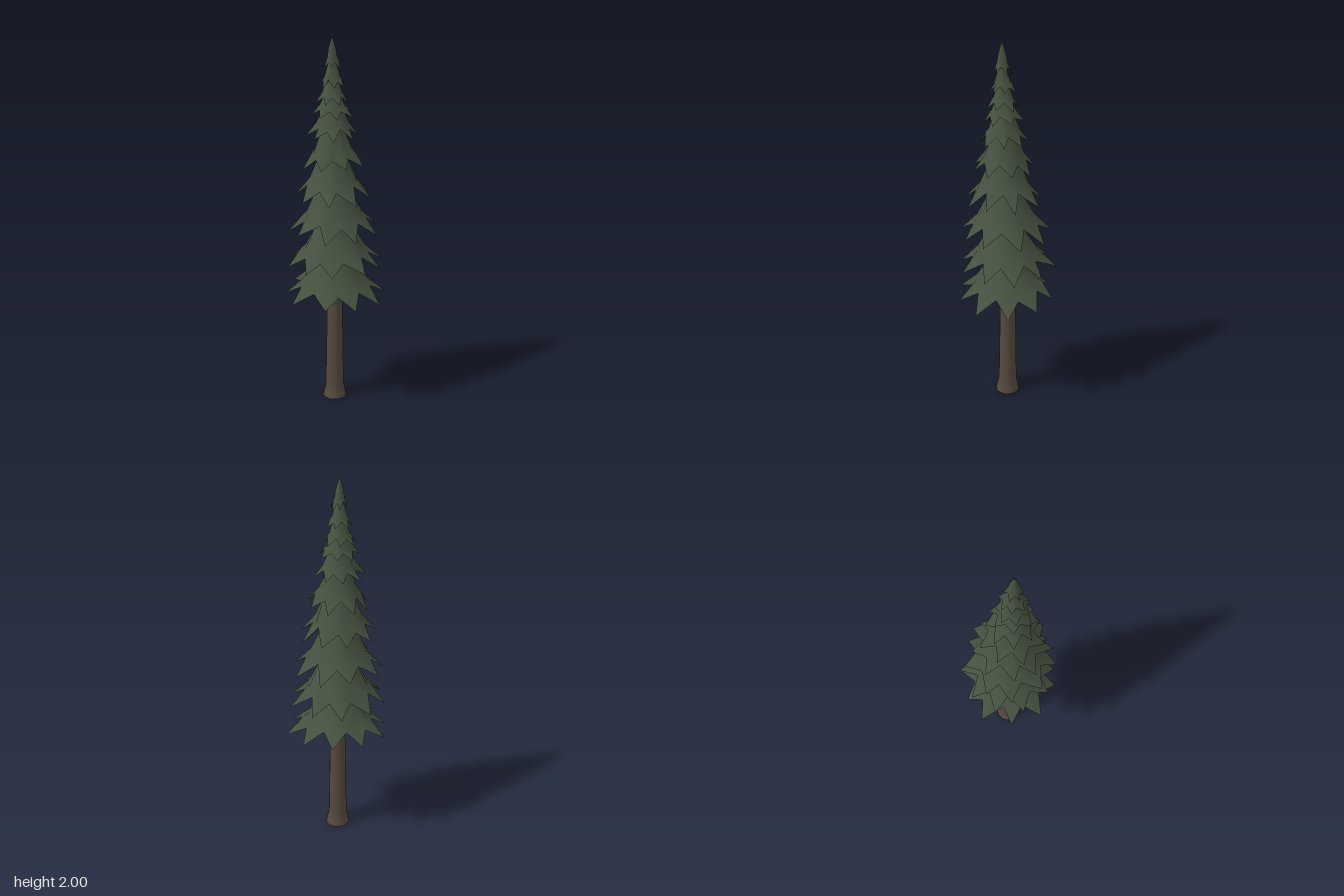
import * as THREE from 'three';

// small seeded generator for natural irregularity
function seeded(seed) {
  return () => {
    seed = (seed * 16807) % 2147483647;
    return seed / 2147483647;
  };
}

// smooth surface through rings of points, listed top to bottom; each ring is closed
function skin(rings) {
  const n = rings[0].length, position = [], index = [];
  for (const ring of rings) for (const p of ring) position.push(...p);
  for (let i = 0; i < rings.length - 1; i++) {
    for (let j = 0; j < n; j++) {
      const k = (j + 1) % n;
      const a = i * n + j, b = i * n + k, c = a + n, d = b + n;
      index.push(a, c, d, a, d, b);
    }
  }
  const geometry = new THREE.BufferGeometry();
  geometry.setAttribute('position', new THREE.Float32BufferAttribute(position, 3));
  geometry.setIndex(index);
  geometry.computeVertexNormals();
  return geometry;
}

export function createModel() {
  const bark = new THREE.MeshStandardMaterial({ color: 0x574a3e });
  const needles = new THREE.MeshStandardMaterial({ color: 0x455140 });
  const mossyBark = new THREE.MeshStandardMaterial({ color: 0x3e5040 });
  bark.name = 'bark';
  needles.name = 'needles';
  mossyBark.name = 'mossyBark';

  const tree = new THREE.Group();
  tree.name = 'pineTree';
  const add = (parent, name, geometry, material) => {
    const mesh = new THREE.Mesh(geometry, material);
    mesh.name = name;
    parent.add(mesh);
    return mesh;
  };
  const lathe = (points) => new THREE.LatheGeometry(points.map(([r, y]) => new THREE.Vector2(r, y)), 14);

  // trunk with a flared foot, turning green just under the branches
  const trunk = add(tree, 'trunk', lathe([[0.066, 0], [0.06, 0.03], [0.051, 0.07], [0.047, 0.3], [0.042, 0.56]]), bark);
  const foot = add(tree, 'trunkFoot', new THREE.CircleGeometry(0.066, 14), bark);
  foot.rotation.x = Math.PI / 2;
  const upper = add(tree, 'upperTrunk', lathe([[0.042, 0.56], [0.038, 0.8], [0.03, 1.2]]), mossyBark);
  for (const part of [trunk, foot, upper]) part.position.x = -0.008;

  // branch tiers: tip height, tip radius, skirt height, number of points
  const tiers = [
    [0.62, 0.27, 0.30, 10],
    [0.80, 0.26, 0.32, 10],
    [0.99, 0.24, 0.32, 9],
    [1.18, 0.205, 0.30, 9],
    [1.34, 0.165, 0.28, 8],
    [1.495, 0.13, 0.22, 8],
    [1.60, 0.104, 0.17, 7],
    [1.67, 0.085, 0.16, 7],
    [1.75, 0.067, 0.15, 7],
    [1.84, 0.046, 0.16, 6],
  ];
  // rings as [tip radius, tip height, valley radius, valley height], relative to the tier
  const outerRows = [
    [0.16, 1.0, 0.16, 1.0],
    [0.44, 0.58, 0.42, 0.58],
    [0.63, 0.29, 0.55, 0.34],
    [1.0, 0.0, 0.69, 0.21],
  ];
  const underRows = [
    outerRows[3],
    [0.52, 0.22, 0.48, 0.24],
    [0.1, 0.32, 0.1, 0.32],
  ];

  const random = seeded(4127);
  tiers.forEach(([y0, radius, height, points], t) => {
    const last = t === tiers.length - 1;
    const turn = random() * Math.PI * 2;
    const columns = Array.from({ length: points * 2 }, (_, j) => ({
      tip: j % 2 === 0,
      angle: turn + ((j + (random() - 0.5) * 0.45) / points) * Math.PI,
      reach: 0.95 + random() * 0.12,
      lift: (random() - 0.5) * 0.1,
    }));
    // the crown leans slightly forward towards its top
    const ring = ([tipR, tipY, valleyR, valleyY], row, rows) => columns.map((c) => {
      let r = c.tip ? tipR : valleyR;
      const h = c.tip ? tipY : valleyY;
      if (last && rows === outerRows && row === 0) r = 0.002;
      r *= radius * (h < 0.4 ? c.reach : 1);
      const y = y0 + height * (h + (h < 0.3 && r > radius * 0.6 ? c.lift : 0));
      const lean = 0.033 * Math.max(0, (y - 0.5) / 1.5);
      return [-0.008 + Math.sin(c.angle) * r, y, lean + Math.cos(c.angle) * r];
    });
    const tier = new THREE.Group();
    tier.name = `branchTier${t + 1}`;
    add(tier, 'branchTops', skin(outerRows.map(ring)), needles);
    add(tier, 'branchUndersides', skin(underRows.map(ring)), needles);
    tree.add(tier);
  });

  return tree;
}
